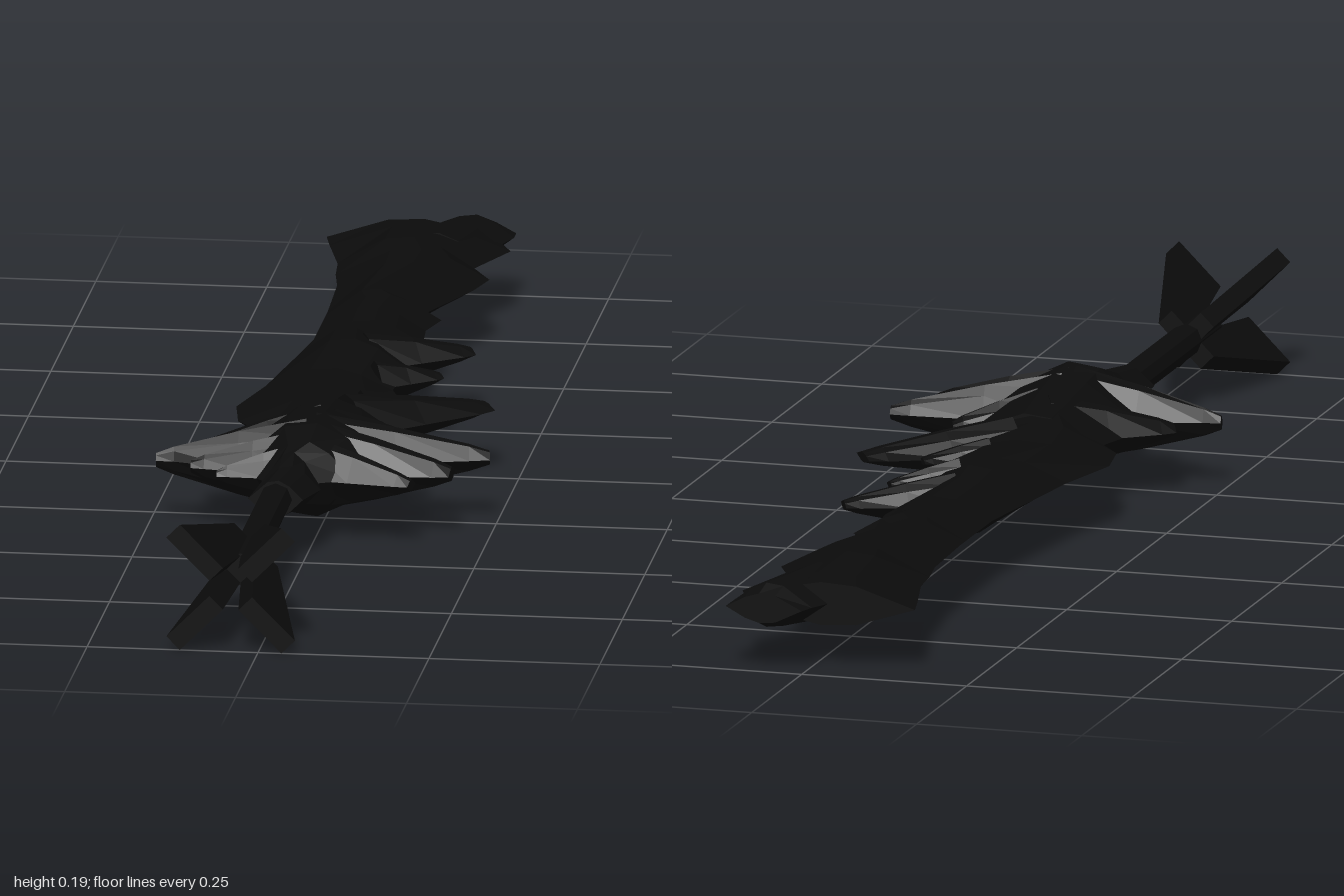
import * as THREE from 'three';

const Y = 0.094;      // height of the centre line
const GRIP_X = -0.04; // the grip sits a little off centre

// Flat-shaded solid through rings of equal length, counter-clockwise about the travel direction
function loft(rings) {
  const pos = [];
  const tri = (a, b, c) => pos.push(...a, ...b, ...c);
  const n = rings[0].length;
  for (let i = 0; i < rings.length - 1; i++) {
    for (let j = 0; j < n; j++) {
      const k = (j + 1) % n, a = rings[i], b = rings[i + 1];
      tri(a[j], a[k], b[k]);
      tri(a[j], b[k], b[j]);
    }
  }
  const last = rings[rings.length - 1];
  for (let j = 1; j < n - 1; j++) {
    tri(rings[0][0], rings[0][j + 1], rings[0][j]);
    tri(last[0], last[j], last[j + 1]);
  }
  const g = new THREE.BufferGeometry();
  g.setAttribute('position', new THREE.Float32BufferAttribute(pos, 3));
  g.computeVertexNormals();
  return g;
}

// Lens-shaped cross-section from x = l to x = r with half height h
const LENS = [[1, 0], [0.5, 0.7], [0.12, 1], [-0.3, 0.9], [-1, 0], [-0.3, -0.9], [0.12, -1], [0.5, -0.7]];
const lens = (z, l, r, h) => LENS.map(([u, v]) => [(l + r) / 2 + u * (r - l) / 2, v * h, z]);

export function createModel() {
  const group = new THREE.Group();
  const black = new THREE.MeshStandardMaterial({ color: 0x0b0b0b });
  const add = (name, geometry, parent = group) => {
    const m = new THREE.Mesh(geometry, black);
    m.name = name;
    parent.add(m);
    return m;
  };

  // Ragged blade: z, left edge, right edge, half height
  const blade = [
    [-0.945, -0.155, 0.1, 0.032], [-0.9, -0.145, 0.12, 0.036], [-0.8, -0.12, 0.08, 0.045],
    [-0.74, -0.115, 0.11, 0.042], [-0.68, -0.105, 0.095, 0.04], [-0.54, -0.1, 0.04, 0.036],
    [-0.51, -0.1, 0.07, 0.036], [-0.45, -0.1, 0.055, 0.033], [-0.38, -0.1, 0.06, 0.032],
    [-0.3, -0.11, 0.04, 0.042], [-0.23, -0.12, 0.06, 0.045], [-0.12, -0.135, 0.05, 0.03],
    [0, -0.163, 0.09, 0.03], [0.08, -0.15, 0.08, 0.038], [0.14, -0.105, 0.08, 0.05],
  ].map(s => lens(...s));
  add('blade', loft(blade)).position.y = Y;

  // Thick core of the guard, narrowing to the collar around the grip
  const core = [
    [0.1, -0.11, 0.08, 0.045], [0.17, -0.13, 0.1, 0.055], [0.25, -0.14, 0.11, 0.066],
    [0.33, -0.13, 0.1, 0.07], [0.38, -0.09, 0.06, 0.055], [0.405, -0.07, 0.01, 0.045],
    [0.44, -0.075, 0.018, 0.034], [0.5, -0.08, 0, 0.028],
  ].map(s => lens(...s));
  add('guardCore', loft(core)).position.y = Y;

  // Blunt shards: base x, z, tip x, z, base width, tip width, base half height
  const shard = (name, x0, z0, x1, z1, w0, w1, h) => {
    const len = Math.hypot(x1 - x0, z1 - z0);
    const rings = [[0, w0, h], [0.45, w0 * 0.55 + w1 * 0.45, h * 0.68], [0.88, w1 * 1.1, h * 0.3], [1, w1 * 0.85, h * 0.15]]
      .map(([t, w, k]) => lens(t * len, -w / 2, w / 2, k));
    const m = add(name, loft(rings));
    m.position.set(x0, Y, z0);
    m.rotation.y = Math.atan2(x1 - x0, z1 - z0);
  };
  [
    [-0.01, -0.27, 0.135, -0.345, 0.1, 0.05, 0.042],
    [0.02, -0.15, 0.108, -0.205, 0.06, 0.035, 0.034],
    [0.02, 0, 0.105, -0.05, 0.07, 0.045, 0.03],
    [0.01, 0.08, 0.195, -0.05, 0.13, 0.07, 0.045],
  ].forEach(s => shard('bladeShard', ...s));
  [
    [0.01, 0.21, 0.125, 0.165, 0.1, 0.05, 0.058],
    [-0.01, 0.27, 0.238, 0.232, 0.08, 0.035, 0.068],
    [-0.01, 0.31, 0.195, 0.328, 0.1, 0.05, 0.068],
    [-0.01, 0.35, 0.145, 0.398, 0.08, 0.035, 0.055],
    [-0.02, 0.17, -0.185, 0.25, 0.13, 0.06, 0.056],
    [-0.02, 0.3, -0.24, 0.307, 0.12, 0.014, 0.07],
    [-0.02, 0.335, -0.185, 0.335, 0.07, 0.025, 0.062],
    [-0.02, 0.36, -0.142, 0.381, 0.06, 0.018, 0.05],
  ].forEach(s => shard('guardShard', ...s));

  // Broken tip reaching past the main blade
  const tip = [
    [-1, 0, 0.115, 0.022], [-0.975, -0.008, 0.115, 0.033], [-0.93, -0.03, 0.1, 0.036], [-0.85, -0.06, 0.085, 0.038],
  ].map(s => lens(...s));
  add('bladeTip', loft(tip)).position.y = Y;

  // Grip rod
  const rod = new THREE.CylinderGeometry(0.024, 0.024, 0.42, 8).rotateX(Math.PI / 2).toNonIndexed();
  rod.computeVertexNormals();
  add('grip', rod).position.set(GRIP_X, Y, 0.68);

  // Four flaring pommel fins set on the diagonals
  const finRing = (z, r0, r1, t) => [[r0, -t, z], [r1, -t, z], [r1, t, z], [r0, t, z]];
  const fin = loft([finRing(0.79, 0, 0.045, 0.014), finRing(1, 0.03, 0.119, 0.014)]);
  for (let i = 0; i < 4; i++) {
    const m = add('pommelFin', fin);
    m.position.set(GRIP_X, Y, 0);
    m.rotation.z = Math.PI / 4 + i * Math.PI / 2;
  }
  return group;
}
